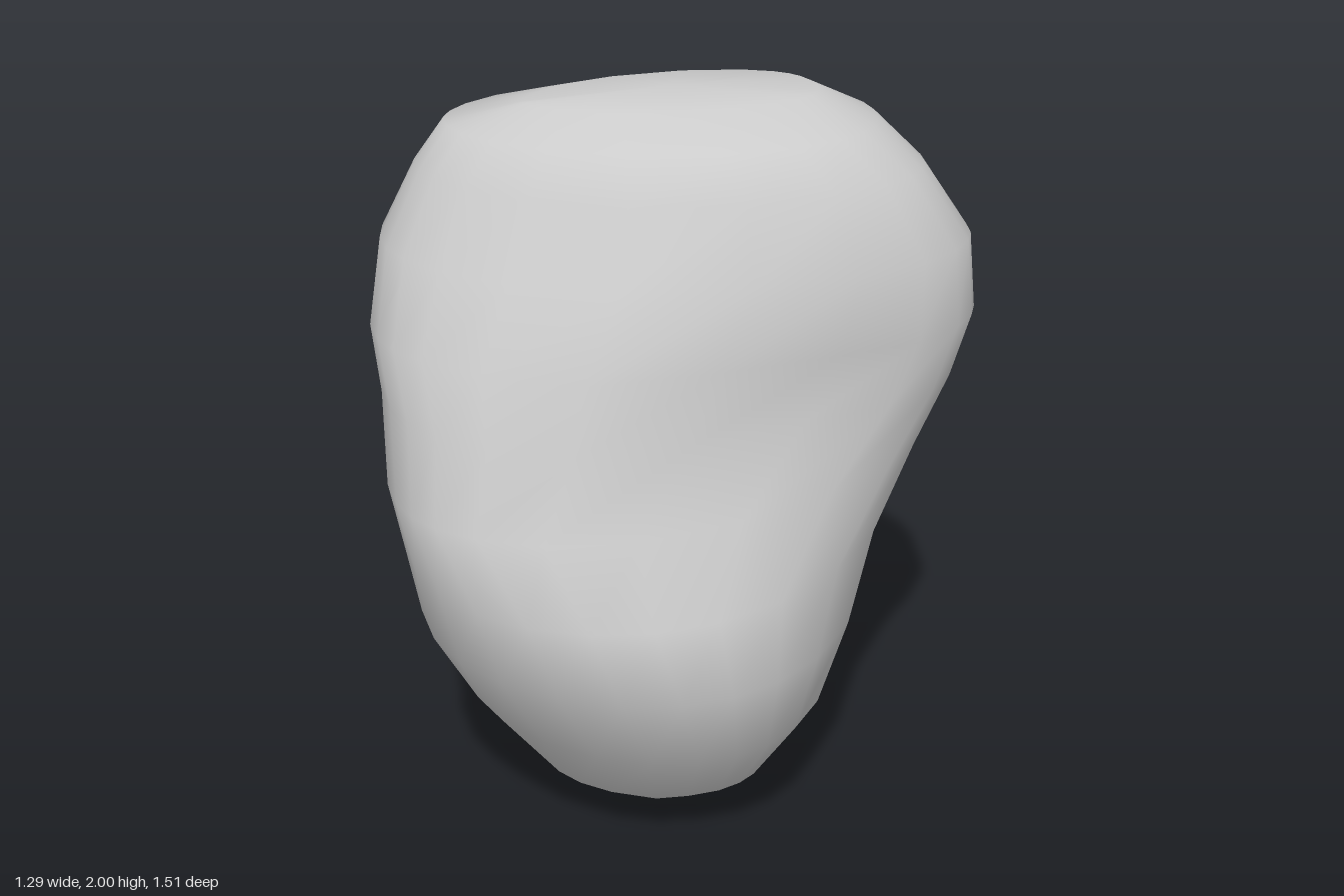
import * as THREE from 'three';

const SEGMENTS = 24;
const DIAG = Math.SQRT1_2;
// Half-width and centre of a [min, max] span
const half = ([a, b]) => (b - a) / 2;
const mid = ([a, b]) => (a + b) / 2;

// Level sections: height, then spans along x, z and the diagonals u = x+z, v = x-z
const sections = [
  [0.18, [-0.27, 0.41], [-0.28, 0.38], [-0.33, 0.42], [-0.34, 0.36]],
  [0.40, [-0.49, 0.57], [-0.51, 0.54], [-0.57, 0.60], [-0.55, 0.51]],
  [0.65, [-0.61, 0.655], [-0.66, 0.69], [-0.73, 0.70], [-0.62, 0.56]],
  [0.85, [-0.60, 0.62], [-0.76, 0.73], [-0.77, 0.71], [-0.65, 0.63]],
  [1.05, [-0.61, 0.57], [-0.75, 0.76], [-0.72, 0.63], [-0.67, 0.72]],
  [1.25, [-0.65, 0.59], [-0.73, 0.69], [-0.64, 0.53], [-0.69, 0.79]],
  [1.42, [-0.66, 0.61], [-0.74, 0.68], [-0.60, 0.47], [-0.70, 0.82]],
  [1.62, [-0.63, 0.59], [-0.72, 0.59], [-0.54, 0.40], [-0.69, 0.80]],
  [1.80, [-0.54, 0.49], [-0.63, 0.49], [-0.49, 0.32], [-0.61, 0.68]],
  [1.91, [-0.46, 0.40], [-0.55, 0.41], [-0.42, 0.26], [-0.53, 0.55]],
  [1.975, [-0.24, 0.24], [-0.42, 0.27], [-0.32, 0.16], [-0.34, 0.42]],
];

// Shallow hollows and swells: centre, and push along the u diagonal
const dents = [
  [new THREE.Vector3(0.5, 1.27, 0), -0.1],
  [new THREE.Vector3(0.2, 1.3, 0.47), 0.04],
  [new THREE.Vector3(-0.6, 1.35, -0.1), 0.05],
];
const DENT_RADIUS = 0.27;
const LOPSIDED = 0.7;

// Rounded section touching the given spans: a slanted ellipse plus its lopsidedness
function sectionPoints([y, x, z, u, v]) {
  const xx = half(x) ** 2, zz = half(z) ** 2;
  const limit = 0.92 * Math.sqrt(xx * zz);
  const xz = THREE.MathUtils.clamp((half(u) ** 2 - half(v) ** 2) / 2, -limit, limit);
  const sum = (mid(u) + mid(v)) * DIAG, difference = (mid(u) - mid(v)) * DIAG;
  const cx = (mid(x) + sum) / 2, cz = (mid(z) + difference) / 2;
  const s3 = LOPSIDED * (sum - mid(x)) / 2, c3 = LOPSIDED * (mid(z) - difference) / 2;
  const points = [];
  for (let i = 0; i < SEGMENTS; i++) {
    const angle = (i / SEGMENTS) * Math.PI * 2;
    const nx = Math.sin(angle), nz = Math.cos(angle);
    const px = xx * nx + xz * nz, pz = xz * nx + zz * nz;
    const reach = Math.sqrt(nx * px + nz * pz);
    // Three-lobed offset along the normal, and its slope along the tangent
    const cos = Math.cos(3 * angle), sin = Math.sin(3 * angle);
    const out = c3 * cos + s3 * sin, slide = 3 * (s3 * cos - c3 * sin);
    const point = new THREE.Vector3(
      cx + px / reach + out * nx + slide * nz, y, cz + pz / reach + out * nz - slide * nx);
    let push = 0;
    for (const [centre, depth] of dents) {
      push += depth * Math.exp(-((point.distanceTo(centre) / DENT_RADIUS) ** 2));
    }
    points.push(point.x + push * DIAG, y, point.z + push * DIAG);
  }
  return points;
}

function stoneGeometry() {
  const rings = sections.map(sectionPoints);
  const positions = [...rings.flat(), 0.12, 0, 0.09, 0, 2, -0.06];
  const bottom = rings.length * SEGMENTS, top = bottom + 1;
  const last = (rings.length - 1) * SEGMENTS;
  const index = [];
  for (let i = 0; i < SEGMENTS; i++) {
    const j = (i + 1) % SEGMENTS;
    index.push(bottom, j, i); // pointed underside
    for (let r = 0; r < last; r += SEGMENTS) {
      const a = r + i, b = r + j, c = b + SEGMENTS, d = a + SEGMENTS;
      index.push(a, b, c, a, c, d);
    }
    index.push(last + i, last + j, top); // rounded crown
  }
  const geometry = new THREE.BufferGeometry();
  geometry.setAttribute('position', new THREE.Float32BufferAttribute(positions, 3));
  geometry.setIndex(index);
  geometry.computeVertexNormals();
  return geometry;
}

export function createModel() {
  const model = new THREE.Group();
  model.name = 'rock';
  const stone = new THREE.Mesh(stoneGeometry(), new THREE.MeshStandardMaterial({ color: 0xcccccc }));
  stone.name = 'stone';
  model.add(stone);
  return model;
}
